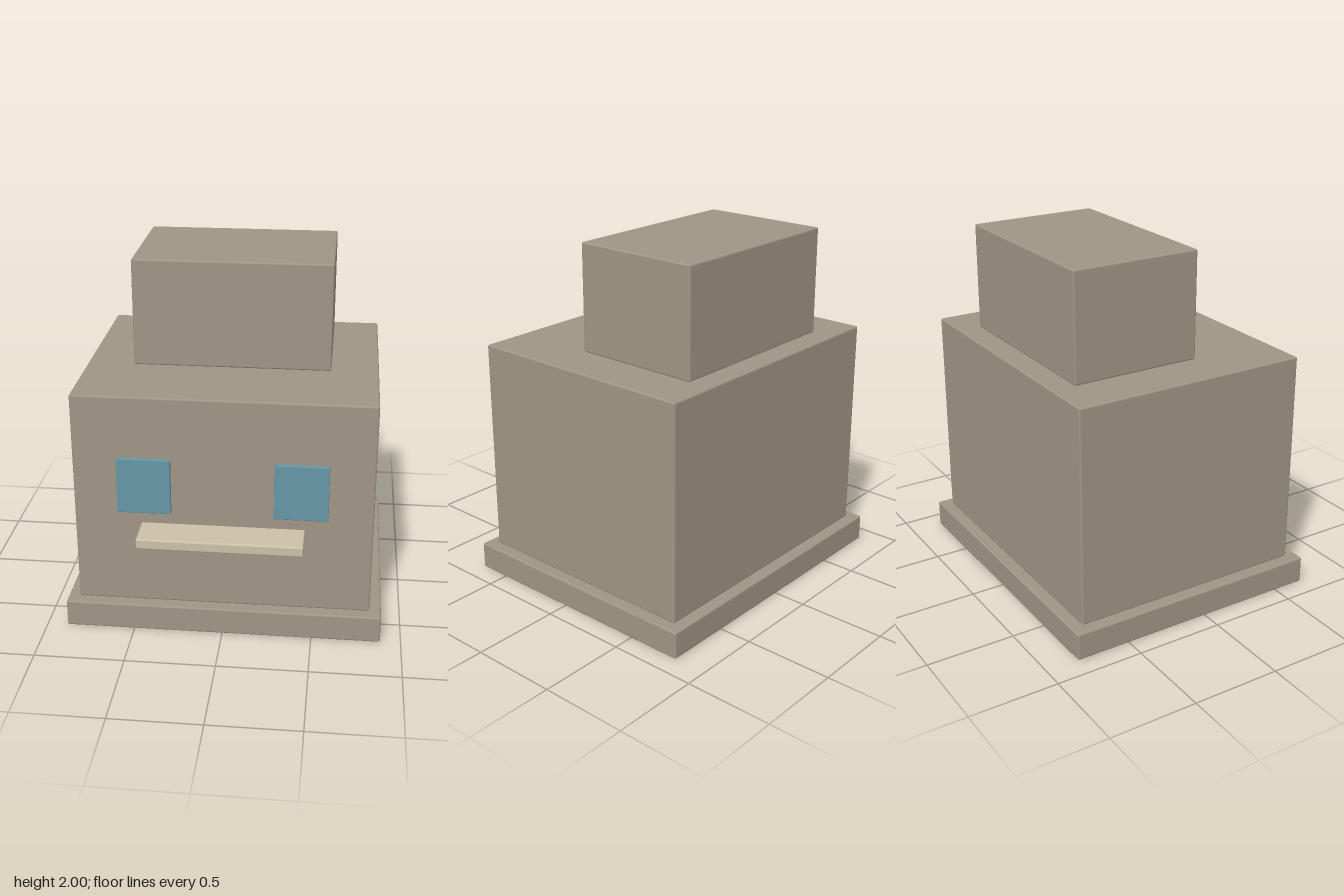
import * as THREE from 'three';
import { RoundedBoxGeometry } from 'three/addons/geometries/RoundedBoxGeometry.js';

function material(name, color) {
  const m = new THREE.MeshStandardMaterial({ color });
  m.name = name;
  return m;
}

export function createModel() {
  const stone = material('stone', 0xa09585);
  const trim = material('pale trim', 0xcbc1a9);
  const glass = material('blue glass', 0x6497a5);

  const model = new THREE.Group();
  model.name = 'building';

  // Softly bevelled block given by its low and high corners
  function block(name, mat, [x0, y0, z0], [x1, y1, z1], bevel = 0.01) {
    const geometry = new RoundedBoxGeometry(x1 - x0, y1 - y0, z1 - z0, 2, bevel);
    const mesh = new THREE.Mesh(geometry, mat);
    mesh.name = name;
    mesh.position.set((x0 + x1) / 2, (y0 + y1) / 2, (z0 + z1) / 2);
    model.add(mesh);
  }

  // Stacked masses: plinth, main block and set-back upper block
  block('plinth', stone, [-0.885, 0, -0.815], [0.885, 0.156, 0.685]);
  block('mainBlock', stone, [-0.82, 0.156, -0.75], [0.82, 1.39, 0.618]);
  block('upperBlock', stone, [-0.555, 1.39, -0.622], [0.555, 2, 0.127]);

  // Ledge projecting from the front wall
  block('ledge', trim, [-0.45, 0.59, 0.6], [0.45, 0.65, 0.815]);

  // Window panes, standing just clear of the wall
  block('leftWindow', glass, [0.28, 0.725, 0.627], [0.575, 1.045, 0.653], 0.004);
  block('rightWindow', glass, [-0.575, 0.725, 0.627], [-0.28, 1.045, 0.653], 0.004);

  return model;
}
